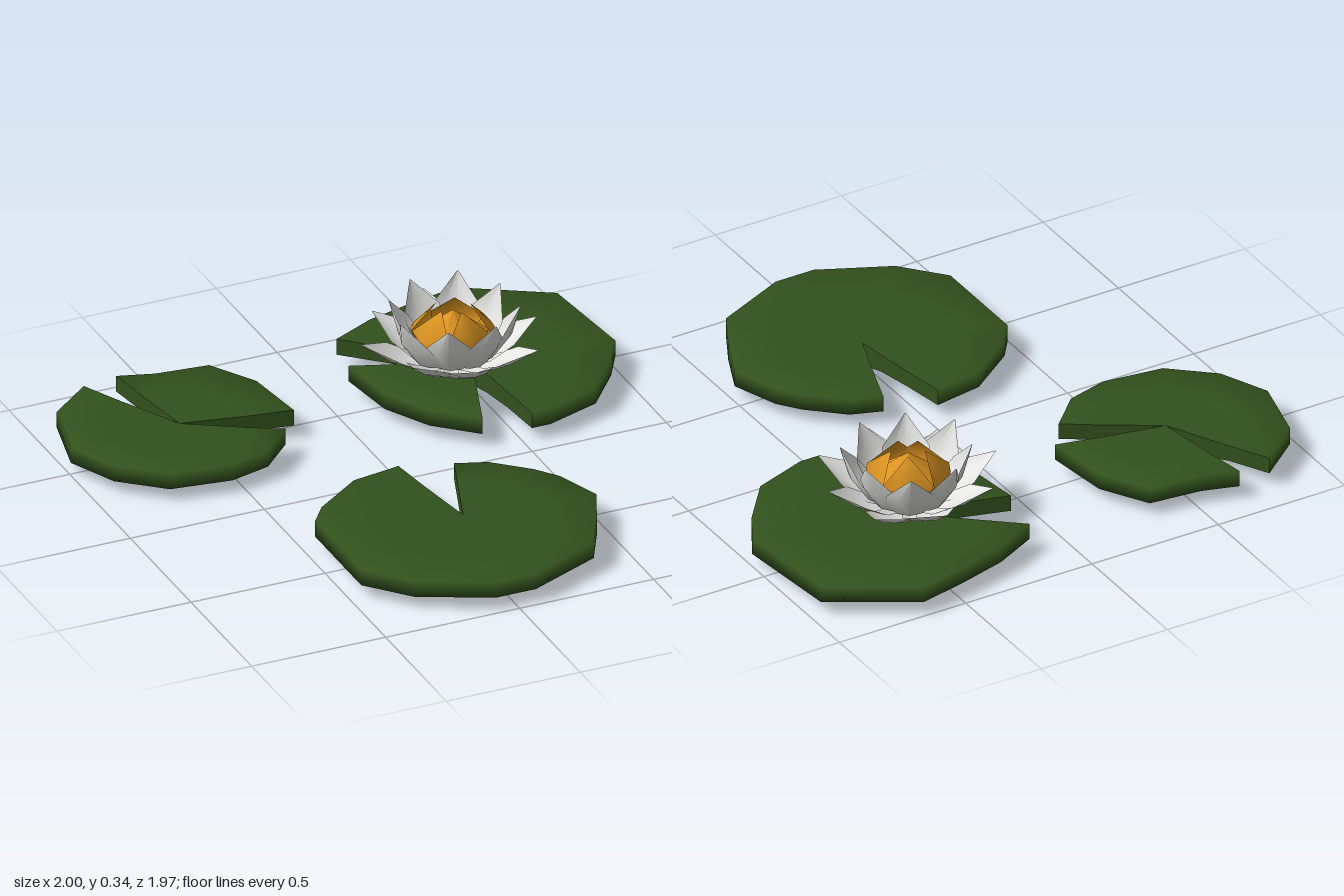
import * as THREE from 'three';

const mat = (name, color) => {
  const m = new THREE.MeshStandardMaterial({ color, side: THREE.DoubleSide });
  m.name = name;
  return m;
};

// Surface through rows of points, all rows having the same length
function sheet(rows) {
  const n = rows[0].length, index = [];
  for (let r = 0; r < rows.length - 1; r++) {
    for (let i = 0; i < n - 1; i++) {
      const a = r * n + i, b = a + 1, c = a + n, d = c + 1;
      index.push(a, c, b, b, c, d);
    }
  }
  const g = new THREE.BufferGeometry();
  g.setAttribute('position', new THREE.Float32BufferAttribute(rows.flat(2), 3));
  g.setIndex(index);
  g.computeVertexNormals();
  return g;
}

// Thick pad lobe: flat top, upright rim, underside dipping to a low centre
function lobe([cx, cz], low, outline, material) {
  const at = (f, y) => ([x, z]) => [cx + (x - cx) * f, y, cz + (z - cz) * f];
  const top = [[0.001, 0.108], [0.25, 0.108], [0.6, 0.108], [1, 0.112]];
  const bottom = [[1, 0.052], [0.6, 0.049], [0.25, low + 0.02], [0.001, low]];
  const group = new THREE.Group();
  group.name = 'padLobe';
  const add = (name, rows) => {
    const mesh = new THREE.Mesh(sheet(rows), material);
    mesh.name = name;
    group.add(mesh);
  };
  add('lobeShell', [...top, ...bottom].map(([f, y]) => outline.map(at(f, y))));
  // Walls closing the lobe along its two notch edges
  const under = bottom.slice().reverse();
  const column = (list, p) => list.map(([f, y]) => at(f, y)(p));
  const first = outline[0], last = outline[outline.length - 1];
  add('notchWall', [column(top, first), column(under, first)]);
  add('notchWall', [column(under, last), column(top, last)]);
  return group;
}

// Pointed, cupped petal; spine rows are [radius, height, half width]
function petal(spine, cup) {
  return sheet(spine.map(([r, y, w]) => [-1, -0.5, 0, 0.5, 1].map((s) => [
    s * w, y + s * s * w * cup * 0.5, r - s * s * w * cup,
  ])));
}

export function createModel() {
  const model = new THREE.Group();
  const green = mat('leaf green', 0x32521d);
  const white = mat('petal white', 0xe4e4e2);
  const orange = mat('centre orange', 0xdc9422);

  // Floating pads, each made of one or two lobes split by notches
  const pads = [
    {
      name: 'leftPad', centre: [-0.59, -0.5], low: 0.003, lobes: [
        [[-0.78, -0.87], [-0.94, -0.74], [-1, -0.49], [-0.92, -0.31], [-0.77, -0.18],
          [-0.55, -0.15], [-0.4, -0.19], [-0.28, -0.31]],
        [[-0.2, -0.42], [-0.23, -0.66], [-0.33, -0.83], [-0.52, -0.85], [-0.65, -0.89]],
      ],
    },
    {
      name: 'frontPad', centre: [0.02, 0.49], low: 0.022, lobes: [
        [[-0.04, 0.09], [-0.22, 0.12], [-0.4, 0.25], [-0.46, 0.33], [-0.46, 0.71], [-0.33, 0.86],
          [-0.08, 0.98], [0.07, 0.98], [0.34, 0.86], [0.42, 0.71], [0.49, 0.55], [0.43, 0.38],
          [0.37, 0.3], [0.25, 0.19], [0.14, 0.15]],
      ],
    },
    {
      name: 'flowerPad', centre: [0.5, -0.5], low: 0.015, lobes: [
        [[0.53, -0.07], [0.6, -0.07], [0.8, -0.14], [0.93, -0.3], [1, -0.42], [0.96, -0.81],
          [0.66, -0.99], [0.48, -0.95], [0.3, -0.9], [0.14, -0.82]],
        [[0.1, -0.63], [0.13, -0.4], [0.22, -0.23], [0.36, -0.1]],
      ],
    },
  ];
  for (const { name, centre, low, lobes } of pads) {
    const pad = new THREE.Group();
    pad.name = name;
    for (const outline of lobes) pad.add(lobe(centre, low, outline, green));
    model.add(pad);
  }

  // Flower: rings of broad petals around a crown-shaped centre
  const flower = new THREE.Group();
  flower.name = 'flower';
  flower.position.set(0.43, 0, -0.5);
  const rings = [
    { name: 'outerPetal', count: 8, turn: -0.1, cup: 0.35, material: white,
      spine: [[0.02, 0.105, 0.03], [0.14, 0.125, 0.075], [0.23, 0.175, 0.08], [0.315, 0.24, 0.002]] },
    { name: 'innerPetal', count: 8, turn: 0.29, cup: 0.4, material: white,
      spine: [[0.02, 0.11, 0.03], [0.14, 0.155, 0.08], [0.195, 0.235, 0.08], [0.225, 0.345, 0.002]] },
    { name: 'centrePetal', count: 5, turn: 0.1, cup: 0.3, material: orange,
      spine: [[0.02, 0.12, 0.02], [0.11, 0.18, 0.08], [0.14, 0.24, 0.085], [0.06, 0.335, 0.002]] },
  ];
  for (const { name, count, turn, cup, material, spine } of rings) {
    const geometry = petal(spine, cup);
    for (let i = 0; i < count; i++) {
      const mesh = new THREE.Mesh(geometry, material);
      mesh.name = name;
      mesh.rotation.y = turn + (i / count) * Math.PI * 2;
      // Slight variation in petal length
      mesh.scale.z = 1 + 0.05 * Math.sin(i * 2.4);
      flower.add(mesh);
    }
  }

  // Core filling the crown
  const core = new THREE.Mesh(new THREE.ConeGeometry(0.13, 0.1, 8), orange);
  core.name = 'flowerCore';
  core.position.y = 0.27;
  flower.add(core);
  model.add(flower);
  return model;
}
